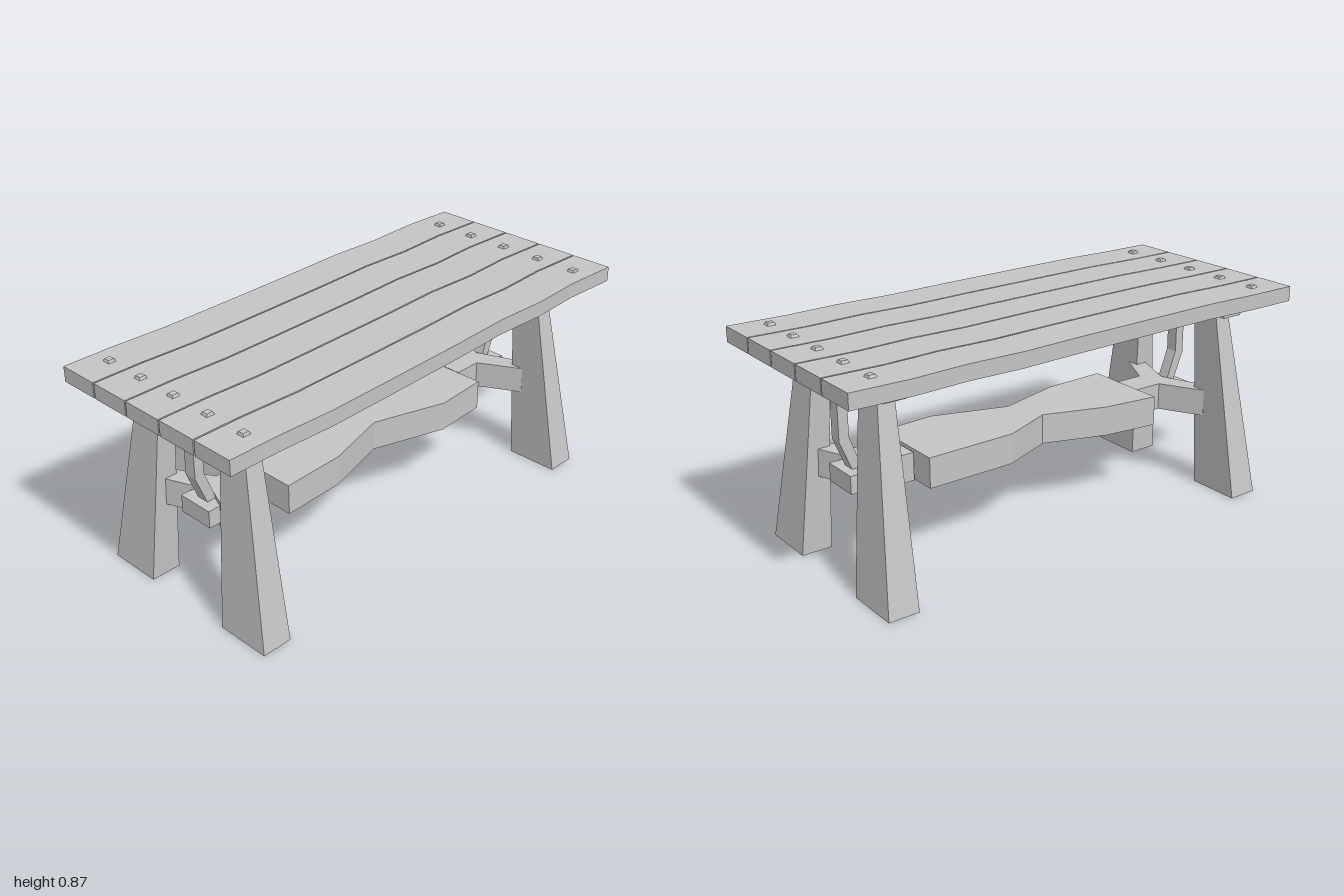
import * as THREE from 'three';

const wood = new THREE.MeshStandardMaterial({ color: 0xc4c4c4, flatShading: true });
wood.name = 'plainWood';

function add(parent, name, geometry, x = 0, y = 0, z = 0) {
  const mesh = new THREE.Mesh(geometry, wood);
  mesh.name = name;
  mesh.position.set(x, y, z);
  parent.add(mesh);
  return mesh;
}

// Slab with an outline of [x, z] points, from y0 up to y1
function slab(points, y0, y1) {
  const shape = new THREE.Shape(points.map(([x, z]) => new THREE.Vector2(x, -z)));
  const g = new THREE.ExtrudeGeometry(shape, { depth: y1 - y0, bevelEnabled: false });
  return g.rotateX(-Math.PI / 2).translate(0, y0, 0);
}

// Box whose top and bottom rectangles differ: [x0, x1, z0, z1]
function taper(bottom, top, y0, y1) {
  const g = new THREE.BoxGeometry(1, 1, 1);
  const p = g.attributes.position;
  for (let i = 0; i < p.count; i++) {
    const up = p.getY(i) > 0;
    const r = up ? top : bottom;
    p.setXYZ(i, p.getX(i) < 0 ? r[0] : r[1], up ? y1 : y0, p.getZ(i) < 0 ? r[2] : r[3]);
  }
  g.computeVertexNormals();
  return g;
}

export function createModel() {
  const table = new THREE.Group();
  table.name = 'plankTable';

  // Five planks sharing one gentle wave along their edges
  const wave = [[-1, 0], [-0.8, 0], [-0.57, 0.01], [-0.33, 0.006], [0.08, -0.003],
    [0.33, -0.013], [0.55, -0.004], [0.77, -0.015], [1, -0.006]];
  const pitch = 0.174, gap = 0.003;
  for (let i = 0; i < 5; i++) {
    const z0 = -0.434 + i * pitch + gap, z1 = z0 + pitch - 2 * gap;
    const outline = [
      ...wave.map(([x, w]) => [x, z1 + w]),
      ...wave.slice().reverse().map(([x, w]) => [x, z0 + w]),
    ];
    add(table, 'plank', slab(outline, 0.797, 0.857));
    // Square pegs near both ends
    for (const x of [-0.867, 0.867]) {
      const peg = new THREE.CylinderGeometry(0.017, 0.023, 0.011, 4).rotateY(Math.PI / 4);
      add(table, 'peg', peg, x, 0.8615, (z0 + z1) / 2 - 0.002);
    }
  }

  // Both end supports, the second turned half a circle
  for (const turn of [0, Math.PI]) {
    const end = new THREE.Group();
    end.name = 'endSupport';
    end.rotation.y = turn;
    end.position.z = -0.005;
    table.add(end);

    // Splayed legs with cap blocks
    for (const s of [-1, 1]) {
      const span = (a, b) => (s > 0 ? [a, b] : [-b, -a]);
      add(end, 'leg', taper([0.757, 0.88, ...span(0.195, 0.415)],
        [0.743, 0.81, ...span(0.16, 0.28)], 0, 0.751));
      add(end, 'legCap', new THREE.BoxGeometry(0.09, 0.047, 0.211), 0.777, 0.7735, s * 0.23);
    }

    // Forked stretcher joining the two legs
    add(end, 'forkStretcher', slab([
      [0.54, 0.06], [0.66, 0.06], [0.75, 0.23], [0.82, 0.23], [0.73, 0],
      [0.82, -0.23], [0.75, -0.23], [0.66, -0.06], [0.54, -0.06],
    ], 0.307, 0.417));

    // Block outside the fork, carrying the bent brace
    add(end, 'braceBlock', new THREE.BoxGeometry(0.11, 0.07, 0.15), 0.755, 0.365, 0);
    const profile = new THREE.Shape([
      [0.73, 0.39], [0.77, 0.39], [0.82, 0.515], [0.82, 0.797], [0.78, 0.797], [0.78, 0.525],
    ].map(([x, y]) => new THREE.Vector2(x, y)));
    add(end, 'bentBrace', new THREE.ExtrudeGeometry(profile,
      { depth: 0.05, bevelEnabled: false }), 0, 0, -0.025);
  }

  // Long hourglass-shaped beam
  add(table, 'centreBeam', slab([
    [-0.53, 0.175], [-0.27, 0.165], [0, 0.09], [0.3, 0.185], [0.53, 0.17],
    [0.53, -0.155], [0.16, -0.15], [-0.05, -0.065], [-0.3, -0.15], [-0.53, -0.18],
  ], 0.303, 0.423));

  return table;
}
